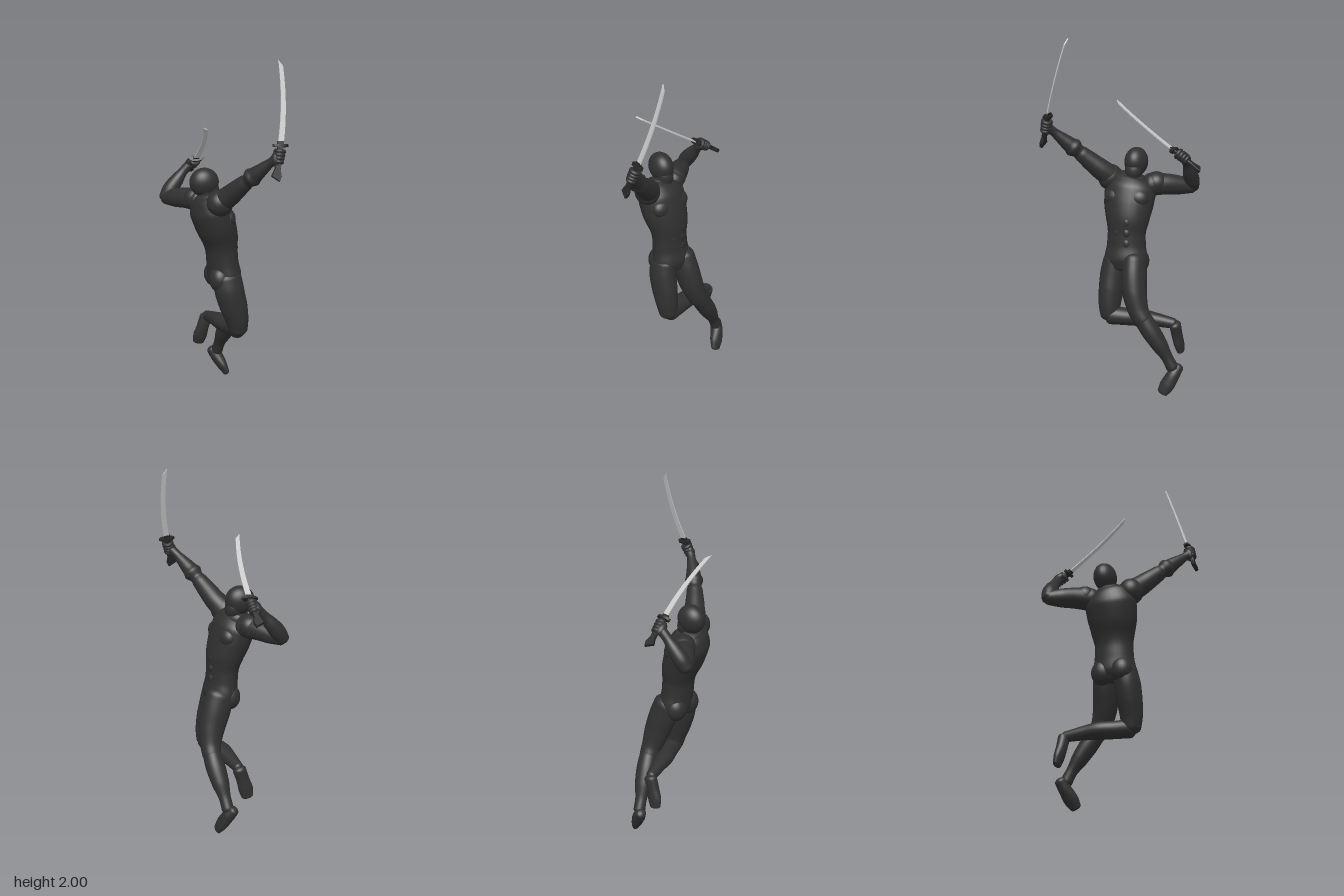
import * as THREE from 'three';

const mat = (name, color, side = THREE.FrontSide) => {
  const m = new THREE.MeshStandardMaterial({ color, side });
  m.name = name;
  return m;
};

export function createModel() {
  const model = new THREE.Group();
  const body = mat('charcoal', 0x303030);
  const hilt = mat('dark hilt', 0x262626);
  const steel = mat('steel', 0xc8c8c8);
  const V = (x, y, z) => new THREE.Vector3(x, y, z);

  const add = (name, geometry, material, parent = model) => {
    const mesh = new THREE.Mesh(geometry, material);
    mesh.name = name;
    parent.add(mesh);
    return mesh;
  };

  // Smooth organic tube through [x, y, z, ra, rb]; ra lies along ref. Ends are rounded.
  function limb(name, pts, ref = V(1, 0, 0), cap = 0.7) {
    const path = new THREE.CatmullRomCurve3(pts.map(p => V(p[0], p[1], p[2])));
    const radii = new THREE.CatmullRomCurve3(pts.map(p => V(p[3], p[4] ?? p[3], 0)));
    const steps = pts.length * 6, sides = 28, capSteps = 6;
    const rings = [];
    for (let i = -capSteps; i <= steps + capSteps; i++) {
      const u = THREE.MathUtils.clamp(i / steps, 0, 1);
      const over = i < 0 ? i : Math.max(0, i - steps);
      const angle = (over / capSteps) * Math.PI / 2;
      const c = path.getPoint(u), t = path.getTangent(u), r = radii.getPoint(u);
      c.addScaledVector(t, Math.sin(angle) * Math.min(r.x, r.y) * cap);
      const a = ref.clone().addScaledVector(t, -ref.dot(t)).normalize();
      const b = t.clone().cross(a);
      const k = Math.max(Math.cos(angle), 0.001);
      rings.push({ c, a, b, ra: r.x * k, rb: r.y * k });
    }
    const pos = [], index = [];
    rings.forEach((g, i) => {
      for (let j = 0; j < sides; j++) {
        const q = j / sides * Math.PI * 2;
        const p = g.c.clone().addScaledVector(g.a, Math.cos(q) * g.ra).addScaledVector(g.b, Math.sin(q) * g.rb);
        pos.push(p.x, p.y, p.z);
        if (i === rings.length - 1) continue;
        const n = (j + 1) % sides, s = i * sides;
        index.push(s + j, s + n, s + sides + j, s + n, s + sides + n, s + sides + j);
      }
    });
    const geo = new THREE.BufferGeometry();
    geo.setAttribute('position', new THREE.Float32BufferAttribute(pos, 3));
    geo.setIndex(index);
    geo.computeVertexNormals();
    return add(name, geo, body);
  }

  const blob = (name, p, s, rot = [0, 0, 0]) => {
    const m = add(name, new THREE.SphereGeometry(1, 28, 20), body);
    m.position.set(...p);
    m.scale.set(...s);
    m.rotation.set(...rot);
    return m;
  };

  // Torso leans back, chest towards +x
  limb('torso', [
    [0.035, 0.70, -0.015, 0.075, 0.10],
    [0.028, 0.75, -0.015, 0.092, 0.125],
    [0.018, 0.82, -0.013, 0.087, 0.113],
    [0.012, 0.89, -0.012, 0.088, 0.109],
    [0.000, 0.97, -0.012, 0.102, 0.124],
    [-0.027, 1.05, -0.006, 0.112, 0.142],
    [-0.055, 1.13, -0.004, 0.112, 0.148],
    [-0.075, 1.19, -0.006, 0.085, 0.118],
    [-0.082, 1.215, -0.01, 0.06, 0.075],
  ], V(1, 0, -0.18).normalize(), 0.3);
  for (const s of [-1, 1]) {
    blob('chestMuscle', [0.012 + s * 0.01, 1.10, -0.012 + s * 0.062], [0.05, 0.058, 0.068], [0, 0.18, 0.3]);
    blob('buttock', [-0.012, 0.735, -0.015 + s * 0.058], [0.062, 0.075, 0.064]);
    for (let i = 0; i < 3; i++)
      blob('abdominal', [0.083 - i * 0.002, 0.85 + i * 0.06, -0.014 + s * 0.026], [0.02, 0.03, 0.026]);
  }

  // Head and neck
  limb('neck', [[-0.085, 1.14, -0.01, 0.06], [-0.085, 1.19, -0.016, 0.05], [-0.08, 1.25, -0.022, 0.05]]);
  blob('skull', [-0.085, 1.292, -0.026], [0.084, 0.082, 0.064]);
  blob('jaw', [-0.05, 1.25, -0.026], [0.05, 0.066, 0.05], [0, 0, 0.2]);

  // Raised arm
  blob('raisedShoulder', [-0.03, 1.2, 0.11], [0.075, 0.075, 0.07]);
  limb('raisedArm', [
    [-0.04, 1.19, 0.09, 0.065], [0.01, 1.245, 0.145, 0.06], [0.045, 1.295, 0.195, 0.053],
    [0.08, 1.345, 0.243, 0.045], [0.115, 1.39, 0.285, 0.045], [0.155, 1.44, 0.33, 0.033],
    [0.185, 1.475, 0.36, 0.025], [0.205, 1.495, 0.378, 0.028],
  ]);

  // Bent arm
  blob('bentShoulder', [-0.11, 1.175, -0.14], [0.068, 0.064, 0.065]);
  limb('bentUpperArm', [
    [-0.09, 1.165, -0.11, 0.065], [-0.145, 1.165, -0.185, 0.06],
    [-0.195, 1.155, -0.245, 0.054], [-0.24, 1.145, -0.302, 0.04],
  ], V(0, 1, 0));
  limb('bentForearm', [
    [-0.245, 1.145, -0.306, 0.038], [-0.215, 1.19, -0.312, 0.045], [-0.175, 1.24, -0.317, 0.04],
    [-0.13, 1.295, -0.32, 0.027], [-0.09, 1.335, -0.32, 0.028],
  ], V(0, 0, 1));

  // Leg folded back at the knee
  limb('bentThigh', [
    [0.03, 0.74, 0.05, 0.082, 0.065], [0.042, 0.66, 0.057, 0.085, 0.073], [0.065, 0.57, 0.06, 0.08, 0.07],
    [0.085, 0.49, 0.06, 0.067, 0.063], [0.093, 0.43, 0.055, 0.056, 0.056],
  ]);
  limb('bentShin', [
    [0.093, 0.425, 0.045, 0.054], [0.07, 0.42, -0.03, 0.053, 0.05], [0.045, 0.418, -0.11, 0.055, 0.05],
    [0.022, 0.41, -0.2, 0.042, 0.04], [0.0, 0.395, -0.3, 0.03],
  ]);
  limb('bentFoot', [
    [-0.003, 0.385, -0.31, 0.038, 0.032], [-0.022, 0.325, -0.313, 0.037, 0.03],
    [-0.037, 0.27, -0.32, 0.042, 0.027], [-0.046, 0.225, -0.328, 0.034, 0.02],
  ]);

  // Trailing leg
  limb('trailingThigh', [
    [0.045, 0.75, -0.08, 0.08, 0.065], [0.07, 0.67, -0.088, 0.084, 0.07], [0.1, 0.57, -0.105, 0.076, 0.067],
    [0.116, 0.48, -0.135, 0.06, 0.058], [0.118, 0.43, -0.165, 0.054, 0.053],
  ]);
  limb('trailingShin', [
    [0.118, 0.44, -0.16, 0.052], [0.107, 0.37, -0.205, 0.056, 0.053], [0.092, 0.29, -0.255, 0.05, 0.046],
    [0.077, 0.21, -0.3, 0.034, 0.032], [0.07, 0.16, -0.325, 0.034, 0.035],
  ]);
  limb('trailingFoot', [
    [0.042, 0.155, -0.348, 0.03, 0.032], [0.07, 0.115, -0.332, 0.037, 0.037],
    [0.098, 0.062, -0.308, 0.03, 0.042], [0.118, 0.02, -0.288, 0.018, 0.032],
  ]);

  // Curved sword with the gripping hand; local y runs from the guard to the tip
  const length = 0.46;
  function swordAndHand(name, guardAt, tipAt, palmAt) {
    const g = new THREE.Group();
    g.name = name;
    const y = tipAt.clone().sub(guardAt).normalize();
    const x = V(1, 0, 0).addScaledVector(y, -y.x).normalize();
    g.quaternion.setFromRotationMatrix(new THREE.Matrix4().makeBasis(x, y, x.clone().cross(y)));
    g.position.copy(guardAt);
    model.add(g);

    // Blade outline follows a shallow bow
    const bow = t => 0.064 * t * (1 - t);
    const outline = [];
    for (let i = 0; i <= 16; i++) outline.push(new THREE.Vector2(bow(i / 16) - 0.016 + 0.006 * i / 16, i / 16 * length));
    for (let i = 16; i >= 0; i--) {
      const t = i / 16 * 0.93;
      outline.push(new THREE.Vector2(bow(t) + 0.016 - 0.004 * t, t * length));
    }
    const blade = new THREE.ExtrudeGeometry(new THREE.Shape(outline), { depth: 0.007, bevelEnabled: false });
    add('blade', blade.translate(0, 0, -0.0035), steel, g);

    // Guard, collar and flared grip
    add('guard', new THREE.CylinderGeometry(1, 1, 0.014, 8), hilt, g).scale.set(0.045, 1, 0.02);
    add('collar', new THREE.BoxGeometry(0.036, 0.03, 0.014), hilt, g).position.y = 0.008;
    const grip = new THREE.Group();
    grip.name = 'grip';
    grip.rotation.z = -0.14;
    g.add(grip);
    const shape = new THREE.Shape([[-0.015, 0], [-0.014, -0.13], [-0.027, -0.17], [0.018, -0.19],
      [0.025, -0.165], [0.014, -0.13], [0.015, 0]].map(p => new THREE.Vector2(...p)));
    const handle = new THREE.ExtrudeGeometry(shape, {
      depth: 0.012, bevelThickness: 0.004, bevelSize: 0.002, bevelSegments: 1 });
    add('handle', handle.translate(0, 0, -0.006), hilt, grip);

    // Fingers curled round the grip
    for (let i = 0; i < 4; i++) {
      const f = add('finger', new THREE.TorusGeometry(0.021, 0.0115, 10, 24), body, grip);
      f.rotation.x = Math.PI / 2;
      f.position.y = -0.032 - i * 0.019;
      f.scale.setScalar(1.04 - i * 0.04);
    }
    const palm = blob('palm', palmAt.toArray(), [0.028, 0.042, 0.026]);
    palm.quaternion.copy(g.quaternion);
  }
  swordAndHand('raisedSword', V(0.235, 1.565, 0.365), V(0.272, 2.0, 0.22), V(0.207, 1.497, 0.382));
  swordAndHand('levelSword', V(-0.07, 1.375, -0.265), V(-0.113, 1.63, 0.115), V(-0.092, 1.338, -0.32));

  return model;
}
